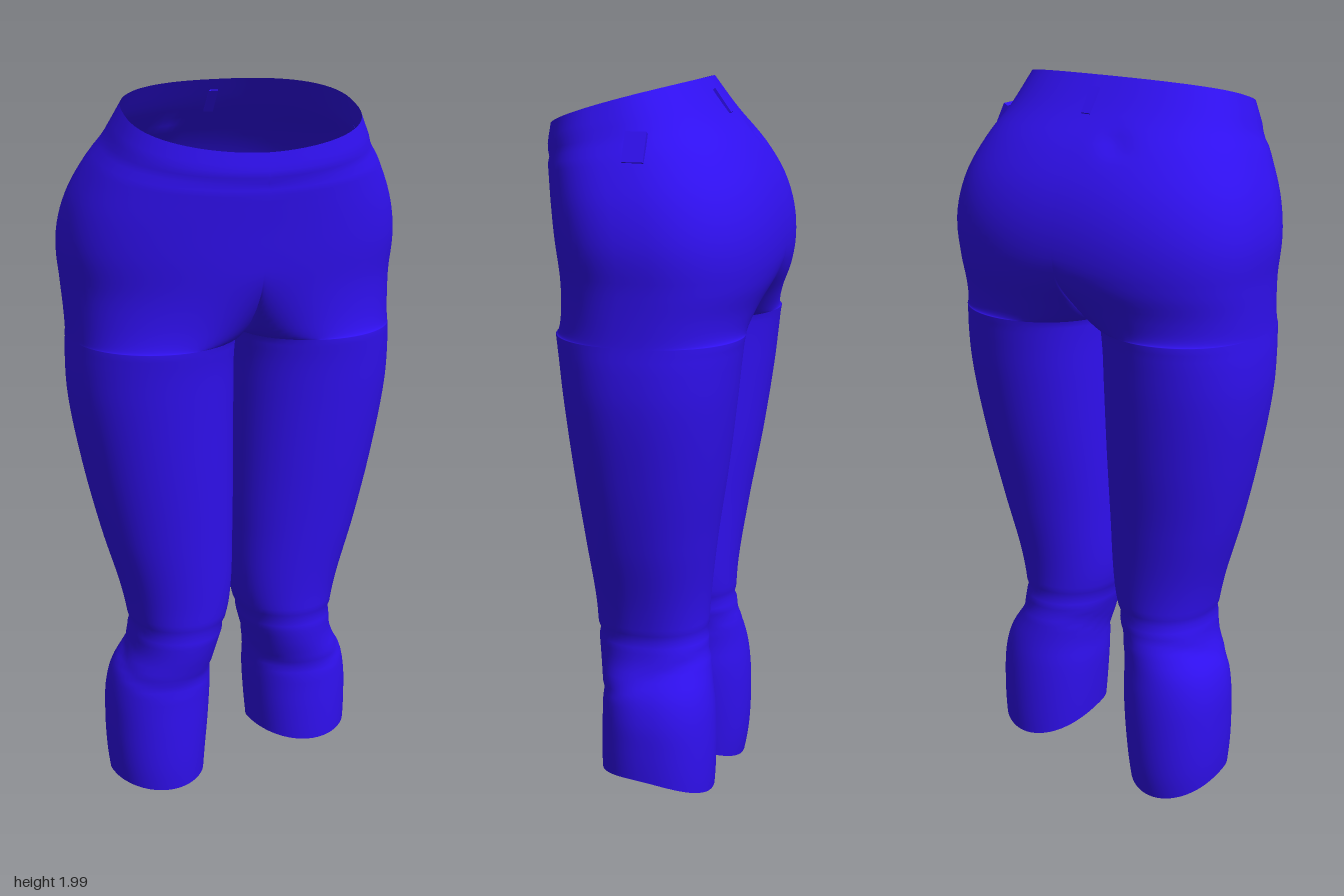
import * as THREE from 'three';
import { mergeVertices } from 'three/addons/utils/BufferGeometryUtils.js';

// Cross-sections of one half, bottom to top: height, inner x, outer x, back z, front z
const SECTIONS = [
  [0.00, 0.085, 0.340, -0.150, 0.132],
  [0.10, 0.078, 0.350, -0.168, 0.140],
  [0.22, 0.068, 0.354, -0.174, 0.142],
  [0.32, 0.062, 0.350, -0.170, 0.141],
  [0.38, 0.062, 0.335, -0.162, 0.143],
  [0.45, 0.050, 0.298, -0.150, 0.156],
  [0.52, 0.030, 0.290, -0.140, 0.165],
  [0.60, 0.012, 0.303, -0.142, 0.170],
  [0.80, 0.004, 0.360, -0.167, 0.190],
  [1.00, 0.003, 0.407, -0.200, 0.212],
  [1.20, 0.003, 0.440, -0.227, 0.232],
  [1.30, 0.003, 0.443, -0.238, 0.242],
  [1.36, 0.000, 0.440, -0.246, 0.250],
  [1.42, 0.000, 0.441, -0.266, 0.256],
  [1.50, 0.000, 0.445, -0.297, 0.266],
  [1.60, 0.000, 0.452, -0.306, 0.281],
  [1.68, 0.000, 0.432, -0.278, 0.292],
  [1.75, 0.000, 0.392, -0.220, 0.302],
  [1.81, 0.000, 0.348, -0.148, 0.310],
  [1.87, 0.000, 0.312, -0.085, 0.303],
];
const WAIST = 1.87, HIP = 1.56, CROTCH = 1.36, COLS = 56;
const sectionAt = new THREE.CubicInterpolant(
  SECTIONS.map(s => s[0]), SECTIONS.flatMap(s => s.slice(1)), 4);

const { lerp, clamp } = THREE.MathUtils;
const bump = (d, width) => Math.exp(-((d / width) ** 2));

// Heights of the rings, with the amount each has turned from hip into leg
function ringRows(hem) {
  const rows = [];
  for (let i = 0; i < 20; i++) rows.push([lerp(WAIST, HIP, i / 20), 0]);
  for (let i = 0; i <= 18; i++) {
    const a = (i / 18) * Math.PI / 2;
    rows.push([HIP - (HIP - CROTCH) * Math.sin(a), 1 - Math.cos(a)]);
  }
  for (let i = 1; i <= 70; i++) rows.push([lerp(CROTCH, hem, i / 70), 1]);
  return rows;
}

// A point on the skin: u runs from the front round the outside to the back
function skinPoint(y, legness, u, side, hem) {
  const [xi, xo, back, front] = sectionAt.evaluate(y);
  const angle = u * Math.PI * 2;
  const cz = (front + back) / 2, h = (front - back) / 2;
  let x = xi + (xo - xi) * (1 - Math.cos(angle)) / 2;
  const hipZ = h * Math.pow(Math.max(0, 1 - Math.pow(clamp(x / xo, 0, 1), 2.5)), 0.4);
  const legZ = h * Math.pow(Math.abs(Math.sin(angle)), 0.87);
  let z = cz + (u < 0.5 ? 1 : -1) * lerp(hipZ, legZ, legness);

  // Waist rises to the back; hem is arched and dips at the heel
  const rise = clamp((y - 1.55) / (WAIST - 1.55), 0, 1);
  const t = clamp((cz + h - z) / (2 * h), 0, 1);
  const low = clamp(1 - (y - hem) / 0.2, 0, 1);
  const py = y + 0.13 * rise * Math.pow(t, 0.7)
    + low * (0.1 * z + 0.03 * (1 - (z / 0.15) ** 2));

  // Creases: yoke seam, folds below the knee, dent in the seat
  const pinch = 0.022 * bump(y - 1.79 - 0.03 * x, 0.012) * (1 - t)
    + 0.03 * bump(y - 0.42 + 0.4 * z, 0.014)
    + 0.04 * bump(y - 0.525, 0.012)
    + (u > 0.5 && side < 0 ? 0.05 * bump(x - 0.12, 0.04) * bump(py - 1.85, 0.02) : 0);
  const cx = legness * (xi + xo) / 2;
  x = cx + (x - cx) * (1 - pinch);
  z = cz + (z - cz) * (1 - pinch);
  return [side * x, py, z];
}

// Both halves, joined along the middle seam
function trousersGeometry() {
  const positions = [], index = [];
  for (const [side, hem] of [[1, 0.12], [-1, 0.03]]) {
    const start = positions.length / 3;
    const rows = ringRows(hem);
    rows.forEach(([y, legness], r) => {
      for (let c = 0; c <= COLS; c++) {
        positions.push(...skinPoint(y, legness, c / COLS, side, hem));
        if (r === 0 || c === 0) continue;
        const d = start + r * (COLS + 1) + c;
        const e = d - 1, b = d - COLS - 1, a = b - 1;
        if (side > 0) index.push(a, e, b, b, e, d);
        else index.push(a, b, e, b, d, e);
      }
    });
  }
  const geometry = new THREE.BufferGeometry();
  geometry.setAttribute('position', new THREE.Float32BufferAttribute(positions, 3));
  geometry.setIndex(index);
  const merged = mergeVertices(geometry, 1e-5);
  merged.computeVertexNormals();
  return merged;
}

export function createModel() {
  const model = new THREE.Group();
  model.name = 'trousers';
  const cloth = new THREE.MeshStandardMaterial({ color: 0x3010f0, side: THREE.DoubleSide });

  const skin = new THREE.Mesh(trousersGeometry(), cloth);
  skin.name = 'waistAndLegs';
  model.add(skin);

  // Belt loops on the left hip and at the middle of the back
  const addLoop = (name, size, position, rx, rz) => {
    const loop = new THREE.Mesh(new THREE.BoxGeometry(...size), cloth);
    loop.name = name;
    loop.position.set(...position);
    loop.rotation.set(rx, 0, rz);
    model.add(loop);
  };
  addLoop('sideLoop', [0.014, 0.08, 0.055], [0.367, 1.85, 0.0], 0, 0.45);
  addLoop('backLoop', [0.025, 0.075, 0.012], [0, 1.94, -0.131], 0.62, 0);
  return model;
}
